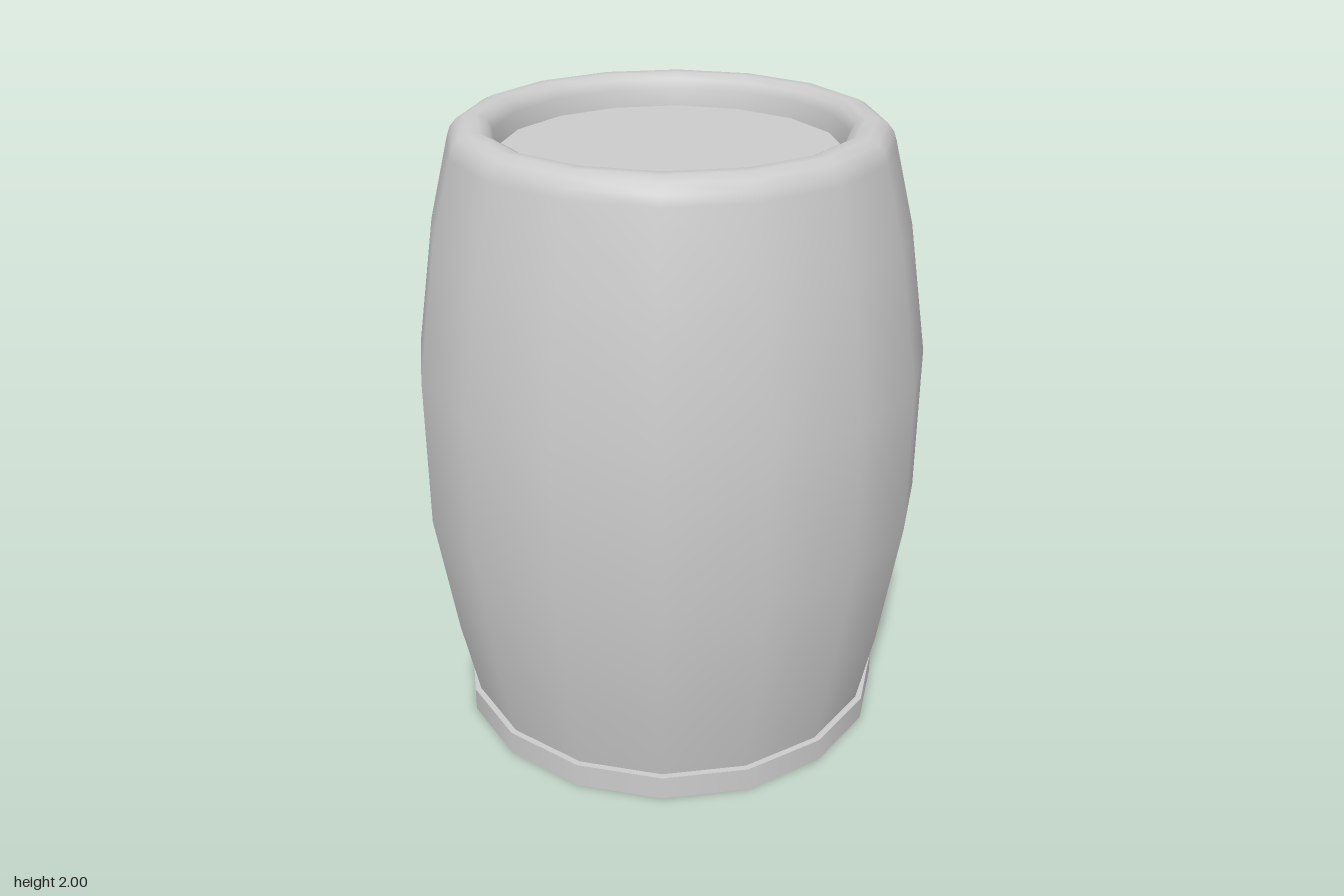
import * as THREE from 'three';

const SIDES = 16;

export function createModel() {
  const model = new THREE.Group();
  const material = new THREE.MeshStandardMaterial({ color: 0xcccccc });

  function add(name, geometry, y = 0) {
    const mesh = new THREE.Mesh(geometry, material);
    mesh.name = name;
    mesh.position.y = y;
    model.add(mesh);
  }

  // Bulging wall that rolls over a rounded lip and down to the sunken lid
  const profile = [
    [0.69, 0.08], [0.745, 0.34], [0.81, 0.76], [0.81, 1.25], [0.745, 1.67],
    [0.68, 1.93], [0.67, 1.96], [0.65, 1.985], [0.62, 2.0], [0.585, 2.0],
    [0.555, 1.985], [0.538, 1.955], [0.53, 1.9],
  ].map(([r, y]) => new THREE.Vector2(r, y));
  add('barrelWall', new THREE.LatheGeometry(profile, SIDES));

  // Flat lid set below the lip
  const lid = new THREE.CircleGeometry(0.53, SIDES);
  lid.rotateX(-Math.PI / 2);
  add('lid', lid, 1.9);

  // Low foot ring closing the bottom
  add('base', new THREE.CylinderGeometry(0.71, 0.71, 0.08, SIDES), 0.04);

  return model;
}
